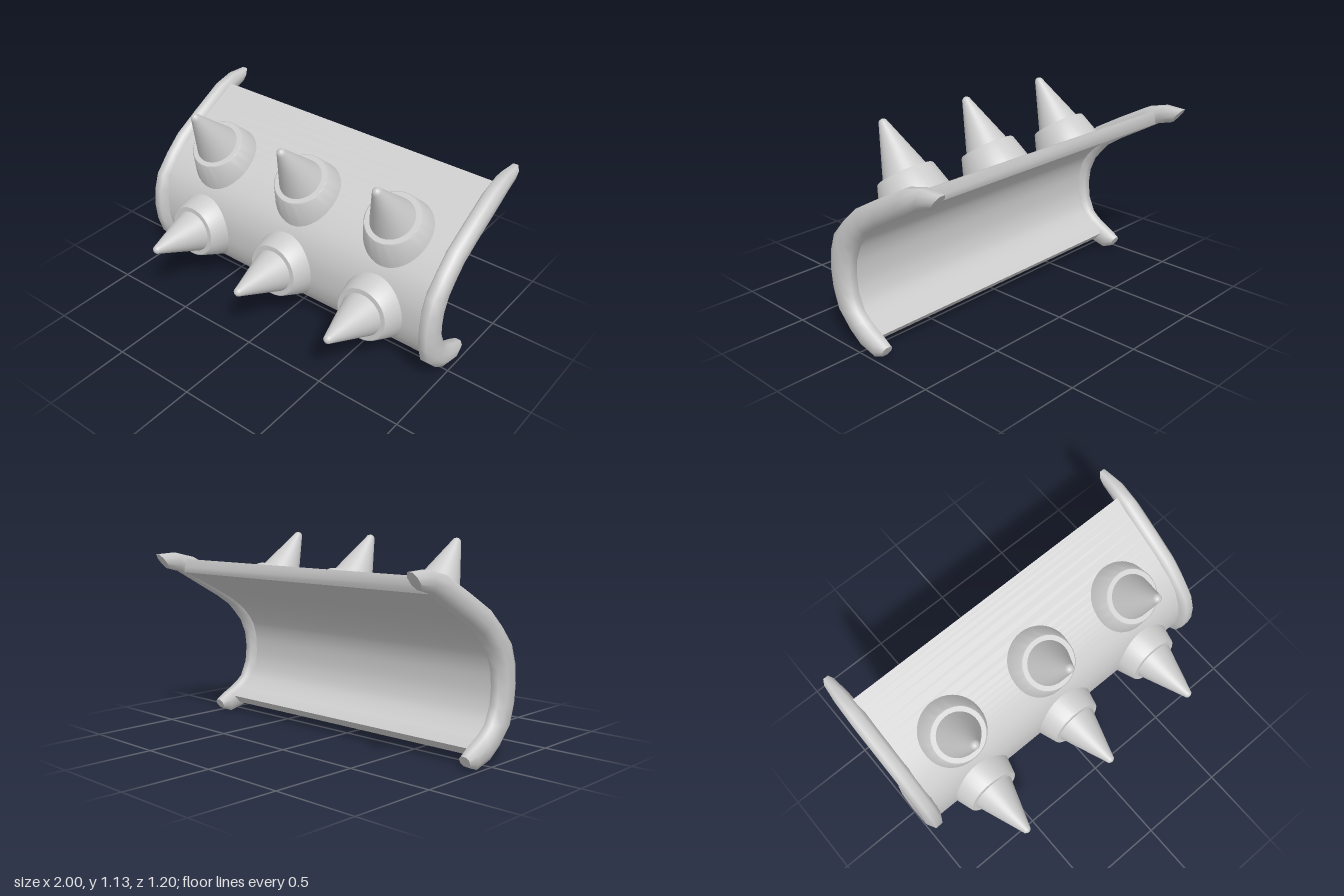
import * as THREE from 'three';
import { toCreasedNormals, mergeVertices } from 'three/addons/utils/BufferGeometryUtils.js';

const material = new THREE.MeshStandardMaterial({ color: 0xcccccc, side: THREE.DoubleSide });

function part(name, geometry) {
  const mesh = new THREE.Mesh(geometry, material);
  mesh.name = name;
  return mesh;
}

function lathe(points, sides = 40) {
  return new THREE.LatheGeometry(points.map(([r, y]) => new THREE.Vector2(r, y)), sides);
}

// Smooth shading that keeps edges sharper than the angle crisp
const crease = (geometry, angle) =>
  toCreasedNormals(geometry.index ? geometry.toNonIndexed() : geometry, angle);

// Rim stations from top to bottom: outer z, outer y, inner z, inner y, width factor
const RIM = [
  [-0.6, 1.01, -0.53, 0.925, 0.65],
  [-0.48, 1.015, -0.45, 0.905, 0.9],
  [-0.36, 0.985, -0.3, 0.82, 1],
  [-0.17, 0.885, -0.15, 0.735, 1],
  [0, 0.79, -0.06, 0.675, 1],
  [0.1, 0.7, -0.01, 0.62, 1],
  [0.19, 0.6, 0.035, 0.565, 1],
  [0.225, 0.5, 0.07, 0.48, 1],
  [0.235, 0.39, 0.08, 0.39, 1],
  [0.225, 0.29, 0.07, 0.295, 1],
  [0.19, 0.18, 0.03, 0.205, 1],
  [0.1, 0.085, -0.01, 0.17, 1],
  [0.02, 0.03, -0.05, 0.145, 1],
  [-0.09, 0, -0.12, 0.11, 0.9],
  [-0.15, 0.025, -0.175, 0.08, 0.65],
];

// Octagonal cross-section: x offset, fraction from inner to outer edge
const SECTION = [
  [-0.023, 1], [0.023, 1], [0.048, 0.7], [0.048, 0.3],
  [0.023, 0], [-0.023, 0], [-0.048, 0.3], [-0.048, 0.7],
];

function rimGeometry() {
  const positions = [], index = [], n = SECTION.length;
  for (const [oz, oy, iz, iy, w] of RIM) {
    for (const [x, t] of SECTION) positions.push(x * w, iy + (oy - iy) * t, iz + (oz - iz) * t);
  }
  for (let i = 0; i < RIM.length - 1; i++) {
    for (let j = 0; j < n; j++) {
      const a = i * n + j, b = i * n + (j + 1) % n;
      index.push(a, a + n, b + n, a, b + n, b);
    }
  }
  const last = (RIM.length - 1) * n;
  for (let j = 1; j < n - 1; j++) {
    index.push(0, j, j + 1);
    index.push(last, last + j + 1, last + j);
  }
  const geometry = new THREE.BufferGeometry();
  geometry.setAttribute('position', new THREE.Float32BufferAttribute(positions, 3));
  geometry.setIndex(index);
  return crease(geometry, 1.3);
}

// Curved plate: a thick arc extruded along x between the rims
function plateGeometry() {
  const mid = [
    [-0.43, 0.946], [-0.33, 0.9], [-0.14, 0.8], [-0.03, 0.733], [0.05, 0.665], [0.113, 0.585],
    [0.148, 0.49], [0.157, 0.39], [0.148, 0.293], [0.113, 0.2], [0.045, 0.128], [-0.035, 0.082],
  ];
  const curve = new THREE.SplineCurve(mid.map(([z, y]) => new THREE.Vector2(z, y)));
  const outer = [], inner = [], steps = 40;
  for (let i = 0; i <= steps; i++) {
    const p = curve.getPoint(i / steps), t = curve.getTangent(i / steps);
    const normal = new THREE.Vector2(-t.y, t.x);
    outer.push(p.clone().addScaledVector(normal, 0.03));
    inner.push(p.clone().addScaledVector(normal, -0.045));
  }
  // Slanted end faces along the top and bottom edges
  outer[0].set(-0.425, 0.977);
  inner[0].set(-0.44, 0.93);
  outer[steps].set(-0.04, 0.05);
  inner[steps].set(-0.08, 0.095);
  const shape = new THREE.Shape([...outer, ...inner.reverse()]);
  const geometry = new THREE.ExtrudeGeometry(shape, { depth: 1.9, bevelEnabled: false });
  geometry.rotateY(-Math.PI / 2).translate(0.95, 0, 0);
  return crease(geometry, 0.6);
}

// Flared collar whose base reaches deeper above and below to meet the curved plate
function collarGeometry(sideDepth, upDepth, downDepth) {
  const geometry = lathe([[0.2, -0.15], [0.157, -0.006], [0.151, 0], [0.1, 0]]);
  const pos = geometry.attributes.position;
  for (let i = 0; i < pos.count; i++) {
    if (pos.getY(i) > -0.1) continue;
    const x = pos.getX(i) / 0.2, up = -pos.getZ(i) / 0.2;
    const depth = sideDepth + ((up > 0 ? upDepth : downDepth) - sideDepth) * up * up;
    const r = 0.157 + depth * (0.27 + 0.08 * Math.max(-up, 0));
    pos.setXYZ(i, x * r, -depth, -up * r);
  }
  geometry.deleteAttribute('normal');
  geometry.deleteAttribute('uv');
  return crease(mergeVertices(geometry), 0.6);
}

function spikeGeometry() {
  return lathe([[0.127, -0.01], [0.026, 0.283], [0.022, 0.295], [0.012, 0.304], [0, 0.307]]);
}

export function createModel() {
  const model = new THREE.Group();
  model.name = 'spikedArmorPlate';
  model.add(part('plate', plateGeometry()));

  // End rims
  const rim = rimGeometry();
  for (const [name, side] of [['leftRim', 1], ['rightRim', -1]]) {
    const mesh = part(name, rim);
    mesh.position.x = side * 0.952;
    model.add(mesh);
  }

  // Two rows of three spikes
  const cone = spikeGeometry();
  const rows = [
    { name: 'upperSpike', y: 0.868, z: 0.045, tilt: 0.59, collar: collarGeometry(0.14, 0.15, 0.18) },
    { name: 'lowerSpike', y: 0.39, z: 0.295, tilt: 1.475, collar: collarGeometry(0.13, 0.16, 0.2) },
  ];
  for (const row of rows) {
    [-0.605, 0.01, 0.612].forEach((x, i) => {
      const spike = new THREE.Group();
      spike.name = row.name + (i + 1);
      spike.add(part('collar', row.collar), part('spike', cone));
      spike.position.set(x, row.y, row.z);
      spike.rotation.x = row.tilt;
      model.add(spike);
    });
  }
  return model;
}
